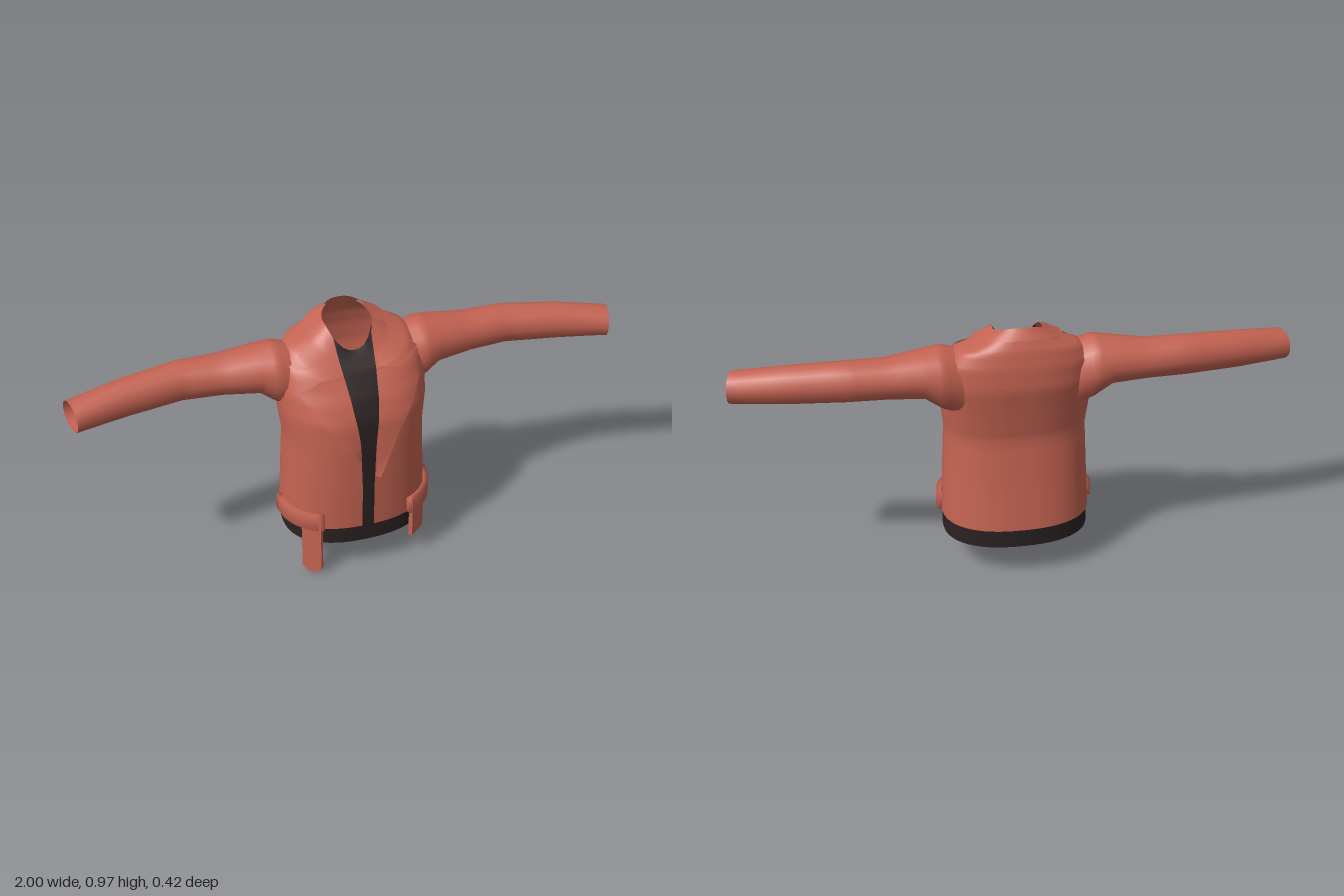
import * as THREE from 'three';
import { mergeVertices } from 'three/addons/utils/BufferGeometryUtils.js';

// Torso rings: front y, front z, side y, side z, half width, back y, back z, half front gap
const RINGS = [
  [0.20, 0.200, 0.20, 0.00, 0.270, 0.20, -0.200, 0.022],
  [0.38, 0.202, 0.38, 0.00, 0.262, 0.38, -0.175, 0.022],
  [0.54, 0.200, 0.54, 0.00, 0.255, 0.54, -0.155, 0.028],
  [0.65, 0.190, 0.65, -0.01, 0.268, 0.65, -0.172, 0.040],
  [0.72, 0.158, 0.74, -0.03, 0.272, 0.75, -0.190, 0.050],
  [0.77, 0.122, 0.82, -0.05, 0.260, 0.83, -0.185, 0.056],
  [0.80, 0.100, 0.87, -0.06, 0.220, 0.89, -0.172, 0.060],
  [0.83, 0.070, 0.90, -0.06, 0.140, 0.93, -0.155, 0.064],
  [0.855, 0.045, 0.935, -0.05, 0.085, 0.965, -0.137, 0.068],
];
const TOP = RINGS.length - 1;
const P = 0.85;

function ringAt(v) {
  const i = Math.min(TOP - 1, Math.max(0, Math.floor(v)));
  return RINGS[i].map((n, k) => n + (RINGS[i + 1][k] - n) * (v - i));
}

// Angle (0 = front) at which a ring reaches a given x
const angleFor = (x, w) => Math.asin(Math.pow(Math.min(1, Math.abs(x) / w), 1 / P));

function base(v, a) {
  const [fy, fz, sy, sz, w, by, bz] = ringAt(v);
  const s = Math.sin(a), c = Math.cos(a);
  return new THREE.Vector3(
    w * Math.sign(s) * Math.pow(Math.abs(s), P),
    sy + ((c > 0 ? fy : by) - sy) * c * c,
    sz + ((c > 0 ? fz : bz) - sz) * Math.pow(Math.abs(c), P));
}

// Point on the torso, moved outward by off
function surf(v, a, off = 0) {
  const p = base(v, a);
  if (!off) return p;
  const e = 0.02;
  const ta = base(v, a + e).sub(base(v, a - e));
  const tv = base(Math.min(TOP, v + e), a).sub(base(Math.max(0, v - e), a));
  return p.addScaledVector(ta.cross(tv).normalize(), off);
}

// Point on the front of the torso found from its x and y
function onFront(x, y, off) {
  let lo = 0, hi = TOP, a = 0;
  for (let i = 0; i < 30; i++) {
    const v = (lo + hi) / 2;
    a = angleFor(x, ringAt(v)[4]);
    if (base(v, a).y < y) lo = v; else hi = v;
  }
  const p = surf(lo, a, off);
  return new THREE.Vector3(x, y, p.z);
}

// Smooth sheet from a function of u and v in 0..1
function sheet(nu, nv, fn) {
  const pos = [], idx = [];
  for (let j = 0; j <= nv; j++)
    for (let i = 0; i <= nu; i++) pos.push(...fn(i / nu, j / nv).toArray());
  for (let j = 0; j < nv; j++)
    for (let i = 0; i < nu; i++) {
      const a = j * (nu + 1) + i, b = a + nu + 1;
      idx.push(a, a + 1, b + 1, a, b + 1, b);
    }
  let g = new THREE.BufferGeometry();
  g.setAttribute('position', new THREE.Float32BufferAttribute(pos, 3));
  g.setIndex(idx);
  g = mergeVertices(g, 1e-5);
  g.computeVertexNormals();
  return g;
}

// Linear sampling of a list of rows
function sample(rows, t) {
  const f = t * (rows.length - 1), i = Math.min(rows.length - 2, Math.floor(f));
  return rows[i].map((n, k) => n + (rows[i + 1][k] - n) * (f - i));
}

export function createModel() {
  const jacket = new THREE.Group();
  jacket.name = 'jacket';
  const red = new THREE.MeshStandardMaterial({ color: 0xc46352, side: THREE.DoubleSide });
  red.name = 'brick red';
  const black = new THREE.MeshStandardMaterial({ color: 0x2b2122, side: THREE.DoubleSide });
  black.name = 'soft black';
  const add = (name, geo, mat = red) => {
    const m = new THREE.Mesh(geo, mat);
    m.name = name;
    jacket.add(m);
    return m;
  };

  // Body shell, open down the front
  add('torso', sheet(64, 32, (u, t) => {
    const v = t * TOP, r = ringAt(v), a0 = angleFor(r[7], r[4]);
    return surf(v, a0 + u * (2 * Math.PI - 2 * a0));
  }));

  // Dark panel behind the front opening
  add('frontPanel', sheet(8, 32, (u, t) => {
    const v = t * TOP, r = ringAt(v), x = (u * 2 - 1) * (r[7] + 0.008);
    return surf(v, Math.sign(x) * angleFor(x, r[4])).add(new THREE.Vector3(0, 0, -0.008));
  }), black);

  // Dark band below the hem
  add('hemBand', sheet(64, 1, (u, t) => {
    const p = base(0, u * 2 * Math.PI);
    return new THREE.Vector3(p.x * 0.985, 0.13 + t * 0.085, p.z * 0.975);
  }), black);

  // Collar folded over the back of the neck
  add('collar', sheet(32, 6, (u, t) => {
    const a = Math.PI * (0.42 + 1.16 * u);
    return surf(TOP - t * 1.1, a, 0.006 + 0.008 * t);
  }));

  // Sleeve stations: x, centre y, centre z, radius y, radius z
  const sleeve = [
    [0.20, 0.745, -0.05, 0.120, 0.100], [0.27, 0.770, -0.055, 0.113, 0.110],
    [0.33, 0.788, -0.06, 0.086, 0.098], [0.46, 0.785, -0.068, 0.072, 0.080],
    [0.60, 0.787, -0.070, 0.072, 0.070], [0.80, 0.778, -0.040, 0.067, 0.065],
    [0.985, 0.766, 0.000, 0.056, 0.060],
  ];

  // Collar wing and lapel rows: inner x, inner y, outer x, outer y
  const wing = [
    [0.068, 0.81, 0.14, 0.80], [0.072, 0.845, 0.235, 0.825],
    [0.080, 0.89, 0.17, 0.882], [0.082, 0.925, 0.11, 0.918],
  ];

  for (const s of [1, -1]) {
    const side = s > 0 ? 'left' : 'right';
    const mirror = p => { p.x *= s; return p; };

    add(side + 'Sleeve', sheet(16, 24, (u, t) => {
      const [x, y, z, ry, rz] = sample(sleeve, t), a = u * 2 * Math.PI;
      const tilt = -0.015 * Math.sin(a) * Math.max(0, (x - 0.6) / 0.385);
      return mirror(new THREE.Vector3(x + tilt, y + ry * Math.cos(a), z + rz * Math.sin(a)));
    }));

    const patch = rows => sheet(8, 18, (u, t) => {
      const [xi, yi, xo, yo] = sample(rows, t);
      return mirror(onFront(xi + (xo - xi) * u, yi + (yo - yi) * u, 0.004 + 0.012 * u));
    });
    add(side + 'CollarWing', patch(wing));
    const tip = s > 0 ? 0.42 : 0.50;
    add(side + 'Lapel', patch([
      [0.026, tip, 0.040, tip], [0.030, 0.58, 0.110, 0.59],
      [0.045, 0.68, 0.175, 0.685], [0.053, 0.75, 0.222, 0.755],
      [0.060, 0.80, 0.145, 0.795],
    ]));

    // Raised waist tab wrapping the side
    const edge = [[0.203, 0], [0.203, 0.02], [0.265, 0.02], [0.265, 0]];
    add(side + 'WaistTab', sheet(12, 3, (u, t) => {
      const [y, off] = edge[Math.round(t * 3)];
      const k = Math.min(1, Math.max(0, (u * 12 - 1) / 10));
      const a = 0.56 + k * (Math.PI / 2 - 0.56);
      const p = surf(0.2, a, u === 0 || u === 1 ? 0 : off);
      p.y = y;
      return mirror(p);
    }));

    // Hanging strap; the right one is longer and pointed
    const low = s > 0 ? 0.092 : 0.02, point = s > 0 ? 0.092 : 0;
    const w = 0.038, shape = new THREE.Shape();
    shape.moveTo(-w, low);
    shape.lineTo(-w * 0.4, point);
    shape.lineTo(w * 0.4, point);
    shape.lineTo(w, low);
    shape.lineTo(w, 0.21);
    shape.lineTo(w * 0.5, 0.262);
    shape.lineTo(-w, 0.262);
    const geo = new THREE.ExtrudeGeometry(shape, { depth: 0.016, bevelEnabled: false });
    if (s < 0) geo.rotateY(Math.PI).translate(0, 0, 0.016);
    const strap = add(side + 'Strap', geo);
    strap.position.set(s * 0.195, 0, 0.152);
    strap.rotation.y = s * 0.7;
  }
  return jacket;
}
